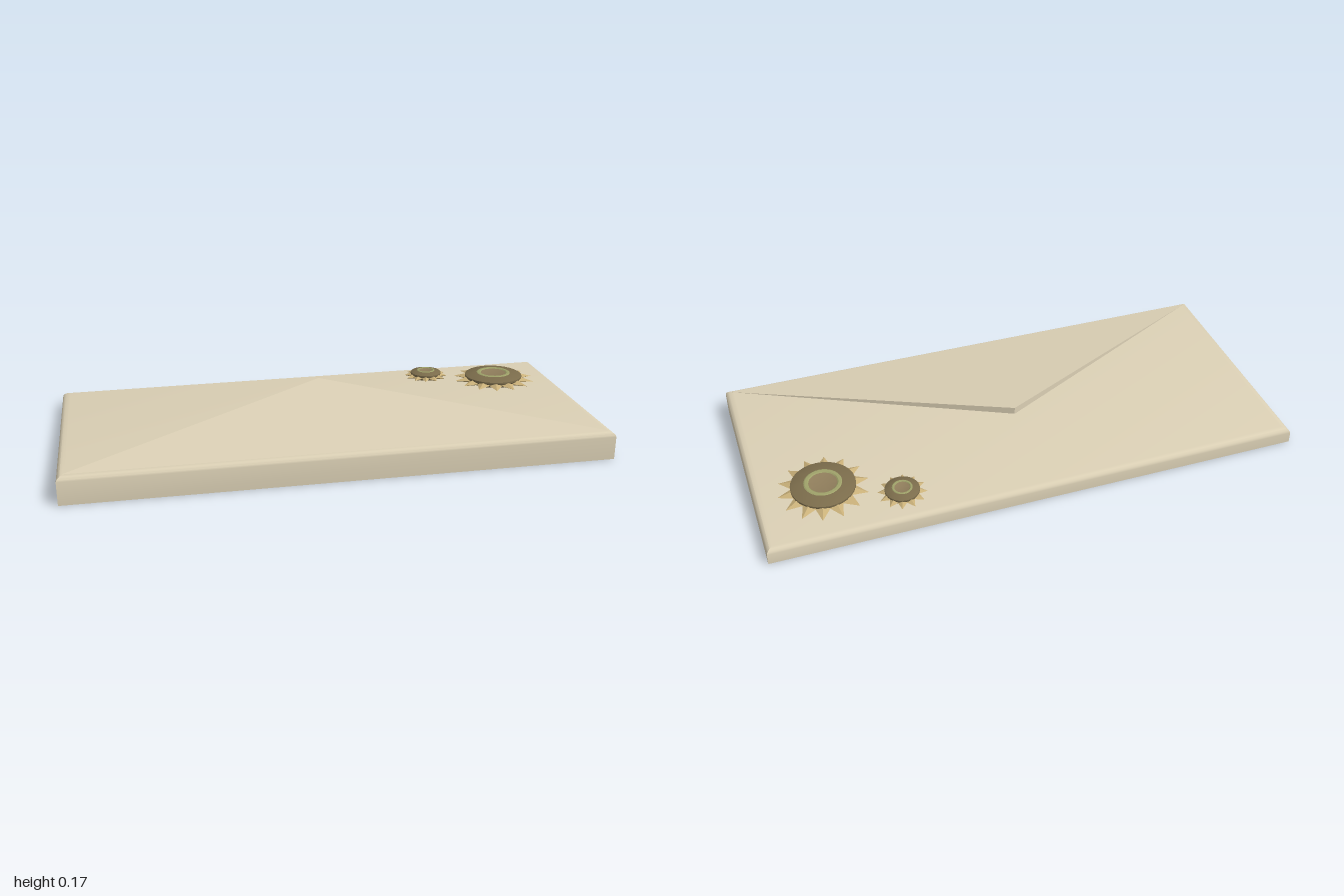
import * as THREE from 'three';
import { toCreasedNormals } from 'three/addons/utils/BufferGeometryUtils.js';

const SLOPE = 0.0523;
const topY = (z) => 0.0845 + SLOPE * z; // sloping upper face

const material = (color, flatShading = false) =>
  new THREE.MeshStandardMaterial({ color, flatShading });

function mesh(name, geometry, mat) {
  const m = new THREE.Mesh(geometry, mat);
  m.name = name;
  return m;
}

function fromPoints(points, index) {
  const g = new THREE.BufferGeometry();
  g.setAttribute('position', new THREE.Float32BufferAttribute(points.flat(), 3));
  g.setIndex(index);
  return g;
}

// Wedge body: rectangular rings rising from the base, then rounding inwards
function bodyGeometry() {
  const rings = [[0, null], [0, 0.02], [0.002, 0.014], [0.006, 0.009], [0.013, 0.004], [0.022, 0.001], [0.03, 0]];
  const points = [];
  const index = [];
  for (const [inset, drop] of rings) {
    for (const [sx, sz] of [[-1, 1], [1, 1], [1, -1], [-1, -1]]) {
      const z = sz * (0.45 - inset * 0.8);
      points.push([sx * (1 - inset), drop === null ? 0 : topY(z) - drop, z]);
    }
  }
  for (let r = 0; r < rings.length - 1; r++) {
    for (let i = 0; i < 4; i++) {
      const a = r * 4 + i, b = r * 4 + (i + 1) % 4;
      index.push(a, b, b + 4, a, b + 4, a + 4);
    }
  }
  const t = (rings.length - 1) * 4;
  index.push(t, t + 1, t + 2, t, t + 2, t + 3, 0, 2, 1, 0, 3, 2);
  return toCreasedNormals(fromPoints(points, index), 0.6);
}

// Raised triangular flap, thickening from the hinge to the tip
function flapGeometry() {
  const g = fromPoints(
    [[-0.98, 0.107, 0.43], [0.98, 0.107, 0.43], [0, 0.175, -0.12], [0, 0.148, -0.12]],
    [0, 1, 2, 0, 3, 1, 0, 2, 3, 1, 3, 2],
  ).toNonIndexed();
  g.computeVertexNormals();
  return g;
}

// Turned part of the seal from [radius, height] pairs, outside to centre
function turned(profile) {
  const g = new THREE.LatheGeometry(profile.map(([r, h]) => new THREE.Vector2(r, h)), 32);
  return toCreasedNormals(g, 0.4);
}

// Sunburst seal: pointed rays, a domed disc, a ring and a centre
function seal(name, x, z, scale, heightScale, rays) {
  const group = new THREE.Group();
  group.name = name;
  const gold = material(0xc9b079, true);
  for (let i = 0; i < rays; i++) {
    const g = new THREE.ConeGeometry(1, 1, 4);
    g.scale(0.034 * 14 / rays, 0.072, 0.016);
    g.rotateX(Math.PI / 2);
    g.rotateX(0.07);
    g.translate(0, 0.01, 0.128);
    const ray = mesh('sealRay', g, gold);
    ray.rotation.y = (i + 0.5) / rays * Math.PI * 2;
    group.add(ray);
  }
  group.add(
    mesh('sealDisc', turned([[0, 0], [0.1, 0], [0.116, 0.019], [0.116, 0.026], [0.11, 0.029], [0.068, 0.035]]), material(0x7b6c4b)),
    mesh('sealRing', turned([[0.068, 0.035], [0.064, 0.037], [0.055, 0.037], [0.051, 0.034]]), material(0x9da068)),
    mesh('sealCentre', turned([[0.051, 0.034], [0.047, 0.033], [0, 0.033]]), material(0x8f7d5b)),
  );
  group.position.set(x, topY(z), z);
  group.rotation.x = -Math.atan(SLOPE);
  group.scale.set(scale, heightScale, scale);
  return group;
}

export function createModel() {
  const model = new THREE.Group();
  model.name = 'envelope';
  const paper = material(0xdacfb4);
  model.add(
    mesh('body', bodyGeometry(), paper),
    mesh('flap', flapGeometry(), paper),
    seal('largeSeal', 0.755, -0.22, 1, 1, 14),
    seal('smallSeal', 0.495, -0.325, 0.54, 0.85, 12),
  );
  return model;
}
